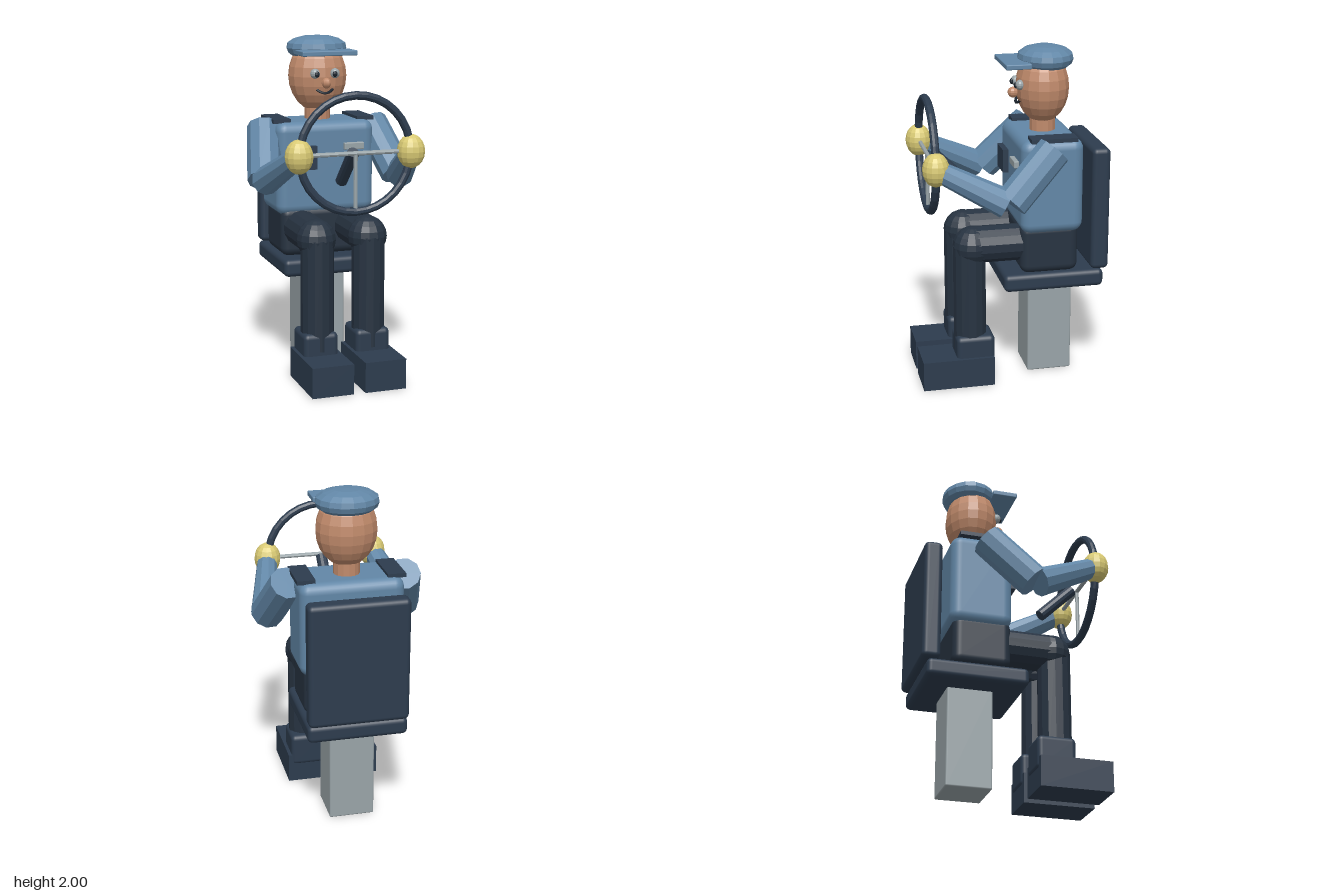
import * as THREE from 'three';
import { RoundedBoxGeometry } from 'three/addons/geometries/RoundedBoxGeometry.js';

export function createModel() {
  const root = new THREE.Group();
  root.name = 'seatedDriver';

  const paint = (name, color) => {
    const m = new THREE.MeshStandardMaterial({ color });
    m.name = name;
    return m;
  };
  const jacket = paint('jacketBlue', 0x6287a7);
  const navy = paint('navy', 0x2d3c4e);
  const trousers = paint('trouserNavy', 0x273341);
  const skin = paint('skin', 0xc08a6b);
  const yellow = paint('gloveYellow', 0xd9ca74);
  const grey = paint('metalGrey', 0x99a4a8);
  const black = paint('dark', 0x1d2630);

  const add = (name, geo, mat, x = 0, y = 0, z = 0) => {
    const mesh = new THREE.Mesh(geo, mat);
    mesh.name = name;
    mesh.position.set(x, y, z);
    root.add(mesh);
    return mesh;
  };
  // Faceted copy of a geometry
  const facet = (geo) => {
    const g = geo.index ? geo.toNonIndexed() : geo;
    g.computeVertexNormals();
    return g;
  };
  const ball = (rx, ry, rz, w = 14, h = 10) =>
    facet(new THREE.SphereGeometry(1, w, h).scale(rx, ry, rz));
  const block = (w, h, d, r) => new RoundedBoxGeometry(w, h, d, 3, r);
  // Faceted rod between two points
  const rod = (name, a, b, ra, rb, mat, sides = 10) => {
    const from = new THREE.Vector3(...a);
    const to = new THREE.Vector3(...b);
    const dir = to.clone().sub(from);
    const mesh = add(name, facet(new THREE.CylinderGeometry(rb, ra, dir.length(), sides)), mat);
    mesh.position.copy(from).lerp(to, 0.5);
    mesh.quaternion.setFromUnitVectors(new THREE.Vector3(0, 1, 0), dir.normalize());
    return mesh;
  };

  // Seat
  add('pedestal', block(0.27, 0.6, 0.27, 0.01), grey, 0, 0.3, -0.24);
  add('seatCushion', block(0.59, 0.105, 0.6, 0.03), navy, 0, 0.64, -0.23);
  add('seatBack', block(0.59, 0.74, 0.108, 0.03), navy, 0, 1.065, -0.506);

  // Body
  add('hips', block(0.56, 0.3, 0.345, 0.05), trousers, 0, 0.84, -0.205);
  add('torso', block(0.61, 0.56, 0.37, 0.06), jacket, 0, 1.22, -0.215);
  add('chestPocket', new THREE.BoxGeometry(0.165, 0.14, 0.035), navy, -0.153, 1.29, -0.013);
  add('chestBadge', block(0.125, 0.042, 0.03, 0.005), grey, 0.163, 1.35, -0.013);

  // Limbs, mirrored
  for (const s of [1, -1]) {
    const side = s > 0 ? 'left' : 'right';
    add(side + 'Epaulette', new THREE.BoxGeometry(0.107, 0.024, 0.272), navy, s * 0.262, 1.505, -0.218);
    rod(side + 'UpperArm', [s * 0.343, 1.46, -0.205], [s * 0.415, 1.185, 0.06], 0.1, 0.1, jacket);
    rod(side + 'Forearm', [s * 0.42, 1.185, 0.09], [s * 0.338, 1.375, 0.46], 0.085, 0.06, jacket);
    add(side + 'Glove', ball(0.081, 0.098, 0.078, 14, 10), yellow, s * 0.333, 1.382, 0.474);

    rod(side + 'Thigh', [s * 0.158, 0.86, -0.21], [s * 0.158, 0.86, 0.24], 0.11, 0.11, trousers, 14);
    add(side + 'Knee', ball(0.117, 0.117, 0.117, 14, 10), trousers, s * 0.158, 0.855, 0.238);
    rod(side + 'Shin', [s * 0.158, 0.2, 0.257], [s * 0.158, 0.86, 0.257], 0.098, 0.098, trousers, 14);
    add(side + 'BootCuff', block(0.21, 0.2, 0.23, 0.03), navy, s * 0.16, 0.21, 0.237);
    add(side + 'Shoe', new THREE.BoxGeometry(0.25, 0.18, 0.43), navy, s * 0.16, 0.09, 0.345);

    add(side + 'Eye', ball(0.03, 0.03, 0.027, 12, 8), grey, s * 0.062, 1.783, -0.068);
    add(side + 'Pupil', ball(0.016, 0.018, 0.012, 10, 6), black, s * 0.056, 1.78, -0.045);
  }

  // Head
  rod('neck', [0, 1.47, -0.217], [0, 1.62, -0.217], 0.077, 0.077, skin, 14);
  add('head', ball(0.179, 0.217, 0.157, 16, 12), skin, 0, 1.76, -0.215);
  add('nose', ball(0.028, 0.032, 0.034, 10, 8), skin, 0, 1.728, -0.042);
  const smile = new THREE.QuadraticBezierCurve3(
    new THREE.Vector3(-0.05, 1.688, -0.073),
    new THREE.Vector3(0, 1.645, -0.043),
    new THREE.Vector3(0.05, 1.688, -0.073));
  add('mouth', new THREE.TubeGeometry(smile, 10, 0.008, 6), black);

  // Cap: flattened crown with a flat peak
  const crown = [[0, 1.87], [0.145, 1.876], [0.172, 1.895], [0.184, 1.925],
    [0.177, 1.955], [0.14, 1.98], [0.08, 1.996], [0, 2]].map((p) => new THREE.Vector2(...p));
  add('capCrown', facet(new THREE.LatheGeometry(crown, 16).scale(1, 1, 0.89)), jacket, 0, 0, -0.232);
  add('capPeak', block(0.34, 0.03, 0.15, 0.006), jacket, 0, 1.908, -0.04);

  // Steering wheel
  add('wheelRim', facet(new THREE.TorusGeometry(0.33, 0.024, 10, 32)), navy, 0, 1.381, 0.473);
  rod('crossSpoke', [-0.325, 1.385, 0.473], [0.325, 1.385, 0.473], 0.013, 0.013, grey, 8);
  rod('lowerSpoke', [0, 1.385, 0.473], [0, 1.055, 0.473], 0.012, 0.012, grey, 8);
  rod('steeringColumn', [0, 1.385, 0.435], [0, 1.185, 0.23], 0.035, 0.035, navy, 12);

  return root;
}
